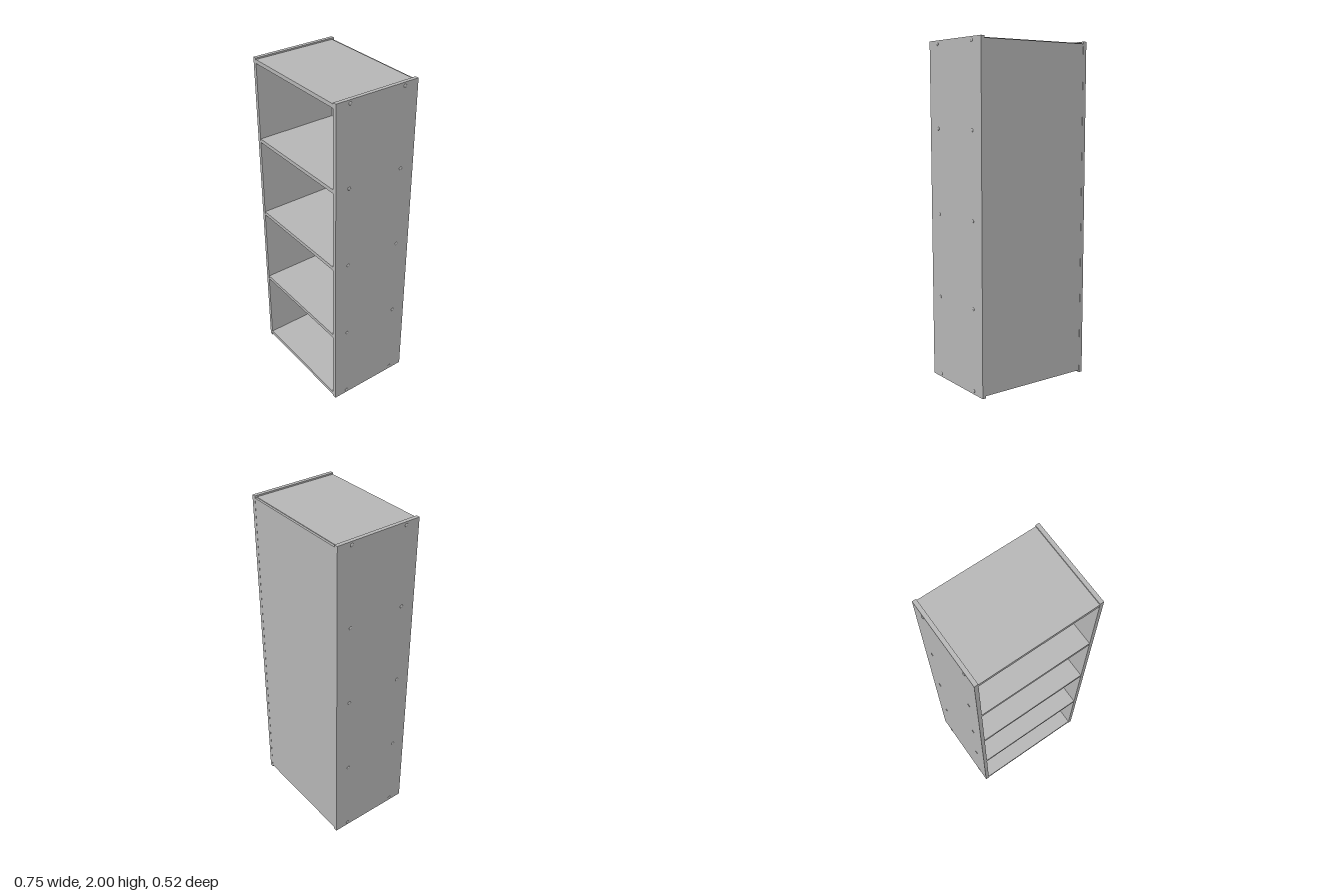
import * as THREE from 'three';

export function createModel() {
  const group = new THREE.Group();
  const grey = new THREE.MeshStandardMaterial({ color: 0xb8b8b8 });
  grey.name = 'grey board';

  const depth = 0.525, thick = 0.023, outerX = 0.372;
  const innerX = outerX - thick;

  function board(name, w, h, d, x, y, z) {
    const mesh = new THREE.Mesh(new THREE.BoxGeometry(w, h, d), grey);
    mesh.name = name;
    mesh.position.set(x, y, z);
    group.add(mesh);
  }

  // Upright sides
  for (const s of [-1, 1]) {
    board(s > 0 ? 'leftSide' : 'rightSide', thick, 2, depth, s * (outerX - thick / 2), 1, 0);
  }

  // Back panel, set between the sides
  const backThick = 0.012;
  board('backPanel', innerX * 2, 1.975, backThick, 0, 1, -depth / 2 + backThick / 2 + 0.001);

  // Bottom, three shelves and top
  const levels = [0.02, 0.5, 1, 1.5, 1.98];
  const names = ['bottomBoard', 'lowerShelf', 'middleShelf', 'upperShelf', 'topBoard'];
  levels.forEach((y, i) => {
    board(names[i], innerX * 2, thick, depth - backThick - 0.002, 0, y, backThick / 2);
  });

  // Low domed screw heads on the outside of both sides, two per board
  const dome = new THREE.SphereGeometry(0.01, 16, 6, 0, Math.PI * 2, 0, Math.PI / 2);
  dome.scale(1, 0.45, 1);
  for (const s of [-1, 1]) {
    for (const y of levels) {
      for (const z of [-0.174, 0.176]) {
        const screw = new THREE.Mesh(dome, grey);
        screw.name = 'screwHead';
        screw.rotation.z = -s * Math.PI / 2;
        screw.position.set(s * outerX, y, z);
        group.add(screw);
      }
    }
  }

  return group;
}
